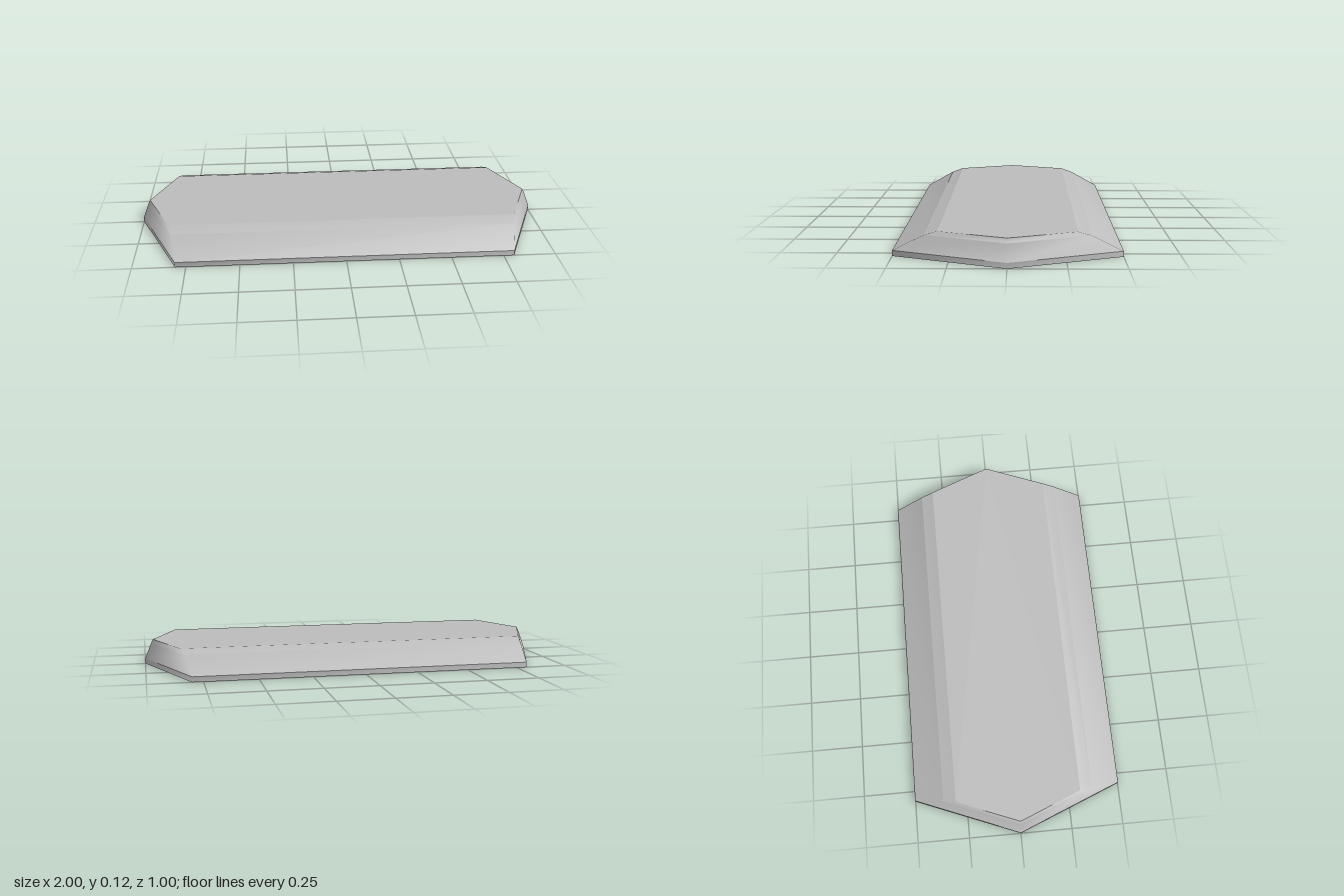
import * as THREE from 'three';

// Hexagonal outline at one height: tip = x of the end points, depth = half width in z
const SLANT = 0.4; // how far the ends draw in per unit of z
function ring(y, tip, depth) {
  const c = tip - depth * SLANT;
  return [[tip, 0], [c, depth], [-c, depth], [-tip, 0], [-c, -depth], [c, -depth]]
    .map(([x, z]) => [x, y, z]);
}

function surface(points, index) {
  const geometry = new THREE.BufferGeometry();
  geometry.setAttribute('position', new THREE.Float32BufferAttribute(points.flat(), 3));
  geometry.setIndex(index);
  geometry.computeVertexNormals();
  return geometry;
}

// Band of six quads between two outlines, shaded smoothly round the corners
function band(lower, upper) {
  const index = [];
  for (let i = 0; i < 6; i++) {
    const j = (i + 1) % 6;
    index.push(i, i + 6, j, j, i + 6, j + 6);
  }
  return surface([...lower, ...upper], index);
}

// Flat hexagonal cap facing up
function cap(outline) {
  const index = [];
  for (let i = 1; i < 5; i++) index.push(0, i + 1, i);
  return surface(outline, index);
}

export function createModel() {
  const model = new THREE.Group();
  model.name = 'hexagonalLid';
  const grey = new THREE.MeshStandardMaterial({ color: 0xbcbcbc, side: THREE.DoubleSide });
  grey.name = 'grey';

  const add = (name, geometry) => {
    const mesh = new THREE.Mesh(geometry, grey);
    mesh.name = name;
    model.add(mesh);
  };

  // Thin shell, open underneath
  const foot = ring(0, 1, 0.5);
  const rimTop = ring(0.025, 1, 0.5);
  const shoulder = ring(0.1, 0.97, 0.36);
  const top = ring(0.12, 0.96, 0.3);

  add('rim', band(foot, rimTop));
  add('slopedSides', band(rimTop, shoulder));
  add('topBevel', band(shoulder, top));
  add('topPanel', cap(top));
  return model;
}
